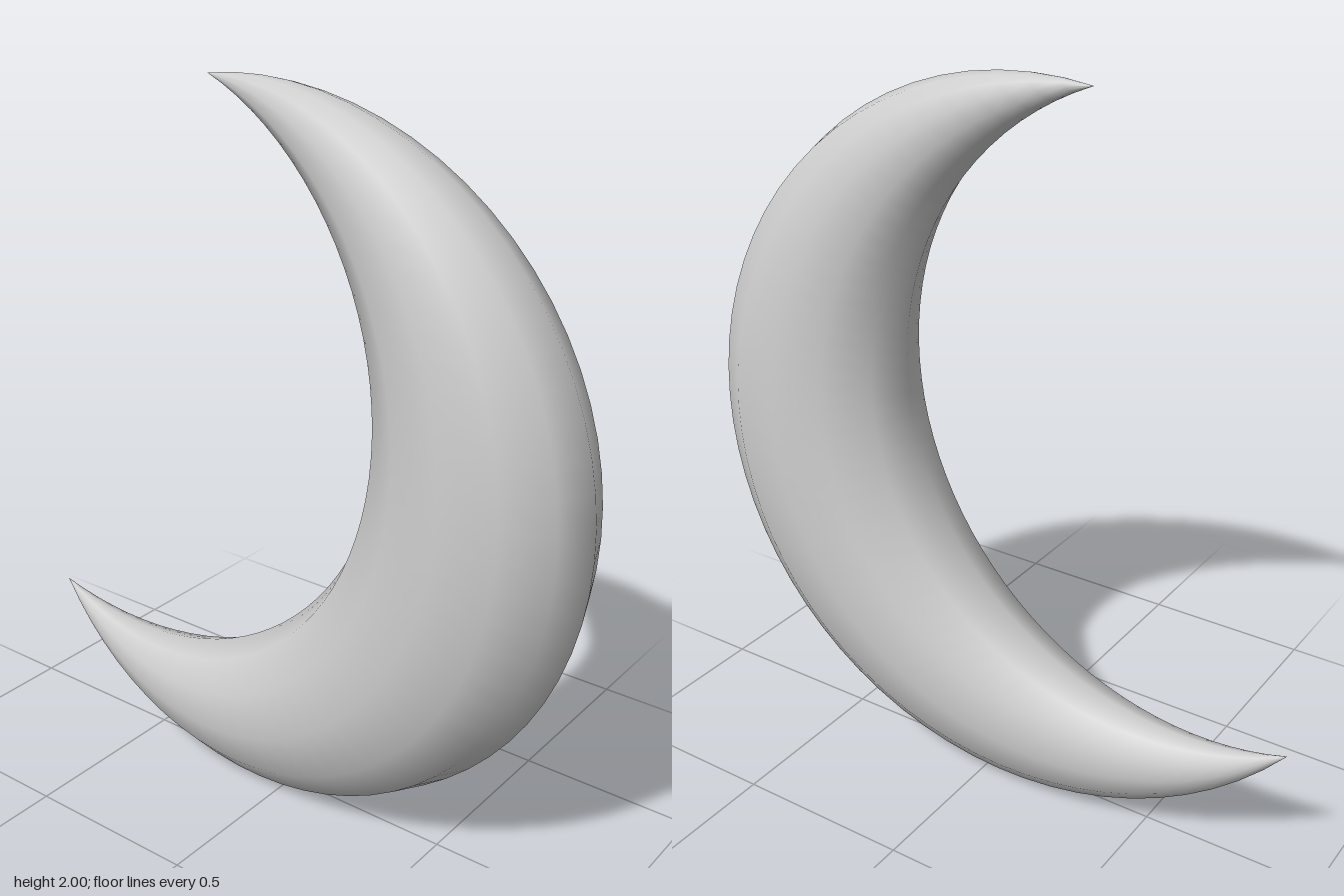
import * as THREE from 'three';

const STEPS = 48;        // sections from tip to tip
const SIDES = 12;        // corners of each section
const TILT = -21 * Math.PI / 180;
const DEPTH = 0.72;      // section depth relative to its width

// Crescent lofted between an outer 240 degree arc and an inner half circle
function crescentGeometry() {
  const innerRadius = Math.sqrt(3) / 2;
  const pos = [], index = [];
  for (let i = 0; i <= STEPS; i++) {
    const s = (i / STEPS) * 2 - 1;
    const a = s * Math.PI * 2 / 3, b = s * Math.PI / 2;
    const outer = new THREE.Vector2(Math.cos(a), Math.sin(a));
    const inner = new THREE.Vector2(-0.5 + innerRadius * Math.cos(b), innerRadius * Math.sin(b));
    const mid = outer.clone().add(inner).multiplyScalar(0.5);
    const half = outer.clone().sub(inner).multiplyScalar(0.5);
    const depth = half.length() * DEPTH;
    // elliptical section, shrinking to a point at both tips
    for (let j = 0; j < SIDES; j++) {
      const t = (j / SIDES) * Math.PI * 2;
      pos.push(mid.x + half.x * Math.cos(t), mid.y + half.y * Math.cos(t), depth * Math.sin(t));
    }
  }
  for (let i = 0; i < STEPS; i++) {
    for (let j = 0; j < SIDES; j++) {
      const k = (j + 1) % SIDES;
      const p = i * SIDES + j, q = i * SIDES + k;
      const r = p + SIDES, u = q + SIDES;
      if (i < STEPS - 1) index.push(p, r, u);
      if (i > 0) index.push(p, u, q);
    }
  }
  const geo = new THREE.BufferGeometry();
  geo.setAttribute('position', new THREE.Float32BufferAttribute(pos, 3));
  geo.setIndex(index);
  geo.rotateZ(TILT);
  geo.translate(-0.11, 1, 0);
  geo.computeVertexNormals();
  return geo;
}

export function createModel() {
  const group = new THREE.Group();
  group.name = 'crescentMoon';
  const grey = new THREE.MeshStandardMaterial({ color: 0xcccccc });
  grey.name = 'light grey';
  const moon = new THREE.Mesh(crescentGeometry(), grey);
  moon.name = 'crescent';
  group.add(moon);
  return group;
}
